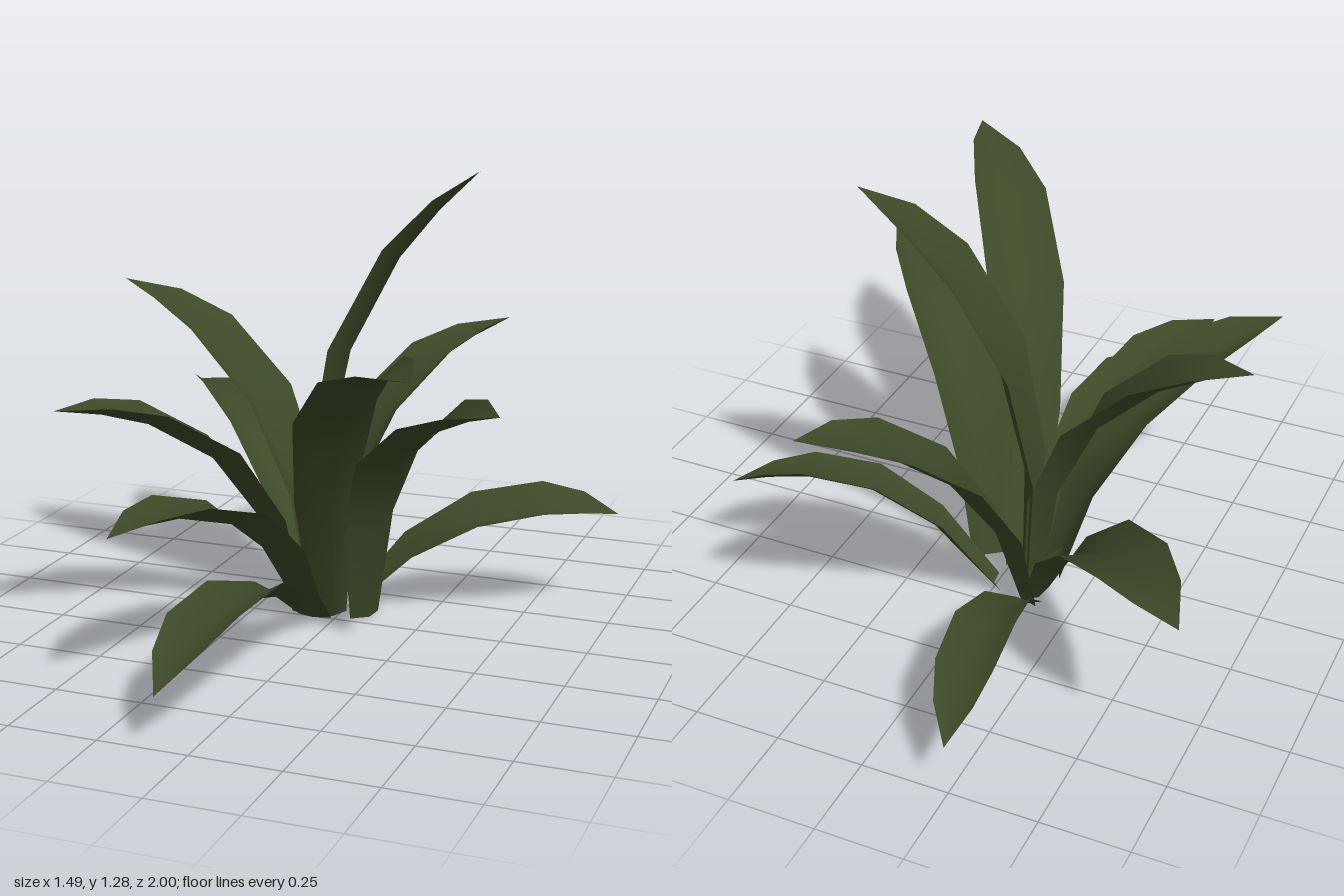
import * as THREE from 'three';

// Cross-sections from root to near the tip: [place along the arc, share of the widest half-width]
const SECTIONS = [[0, 0.45], [0.25, 0.78], [0.5, 1], [0.74, 0.94], [0.88, 0.62]];
const FOLD = 0.45; // how far the edges rise above the midrib, per unit of half-width

const leafGreen = new THREE.MeshStandardMaterial({ color: 0x3d4a28, side: THREE.DoubleSide });
leafGreen.name = 'leafGreen';

// A folded blade on an arc through root, middle and tip: edge, midrib, edge at every section
function makeLeaf(name, halfWidth, root, middle, tip, roll = 0) {
  const [start, mid, end] = [root, middle, tip].map((p) => new THREE.Vector3(...p));
  const control = mid.multiplyScalar(2).addScaledVector(start, -0.5).addScaledVector(end, -0.5);
  const arc = new THREE.QuadraticBezierCurve3(start, control, end);
  const heading = end.clone().sub(start).setY(0).normalize();
  const tipIndex = SECTIONS.length * 3;
  const positions = [];
  const index = [];
  SECTIONS.forEach(([t, share], i) => {
    const center = arc.getPoint(t);
    const tangent = arc.getTangent(t);
    const side = new THREE.Vector3(-heading.z, 0, heading.x).applyAxisAngle(tangent, roll);
    const up = side.clone().cross(tangent).normalize();
    const half = halfWidth * share;
    for (const s of [-1, 0, 1]) {
      const p = center.clone().addScaledVector(side, s * half);
      p.addScaledVector(up, (Math.abs(s) - 0.5) * half * FOLD);
      if (i === 0) p.y = 0; // cut flat at the ground
      positions.push(p.x, p.y, p.z);
    }
    for (const a of [i * 3, i * 3 + 1]) {
      if (i === SECTIONS.length - 1) index.push(a, a + 1, tipIndex);
      else index.push(a, a + 1, a + 4, a, a + 4, a + 3);
    }
  });
  positions.push(end.x, end.y, end.z);

  const geometry = new THREE.BufferGeometry();
  geometry.setAttribute('position', new THREE.Float32BufferAttribute(positions, 3));
  geometry.setIndex(index);
  geometry.computeVertexNormals();
  const leaf = new THREE.Mesh(geometry, leafGreen);
  leaf.name = name;
  return leaf;
}

export function createModel() {
  const plant = new THREE.Group();
  plant.name = 'plant';
  plant.add(
    // Upright leaf in the middle
    makeLeaf('tallLeaf', 0.12, [-0.08, 0, -0.13], [-0.04, 0.77, -0.17], [0.33, 1.28, -0.29], -0.15),
    // Leaves leaning back
    makeLeaf('backLeaf', 0.085, [-0.12, 0, -0.2], [-0.15, 0.195, -0.56], [-0.24, 0.15, -1]),
    makeLeaf('backLeftLeaf', 0.118, [-0.1, 0, -0.19], [0, 0.53, -0.41], [0.3, 0.77, -0.74], -0.1),
    makeLeaf('backRightLeaf', 0.11, [-0.13, 0, -0.17], [-0.41, 0.43, -0.41], [-0.75, 0.49, -0.72], 0.2),
    // Leaves to the sides
    makeLeaf('lowLeftLeaf', 0.1, [0, 0, -0.16], [0.36, 0.29, -0.22], [0.74, 0.29, -0.38], 0.25),
    makeLeaf('rightLeaf', 0.125, [-0.11, 0, -0.12], [-0.265, 0.61, -0.12], [-0.74, 0.92, -0.19]),
    // Leaves leaning forward
    makeLeaf('frontRightLeaf', 0.11, [-0.13, 0, -0.03], [-0.3, 0.51, 0.13], [-0.61, 0.69, 0.51]),
    makeLeaf('innerFrontLeaf', 0.108, [-0.08, 0, -0.02], [-0.17, 0.39, 0.32], [-0.31, 0.455, 0.8]),
    makeLeaf('frontLeaf', 0.11, [-0.06, 0, 0], [-0.07, 0.24, 0.48], [-0.09, 0.14, 1], 0.1),
    makeLeaf('highFrontLeaf', 0.12, [-0.02, 0, -0.03], [0.15, 0.7, 0.36], [0.52, 0.95, 0.87], 0.25),
    makeLeaf('frontLeftLeaf', 0.12, [0.08, 0, -0.06], [0.215, 0.53, 0.09], [0.61, 0.77, 0.44], 0.25),
  );
  return plant;
}
